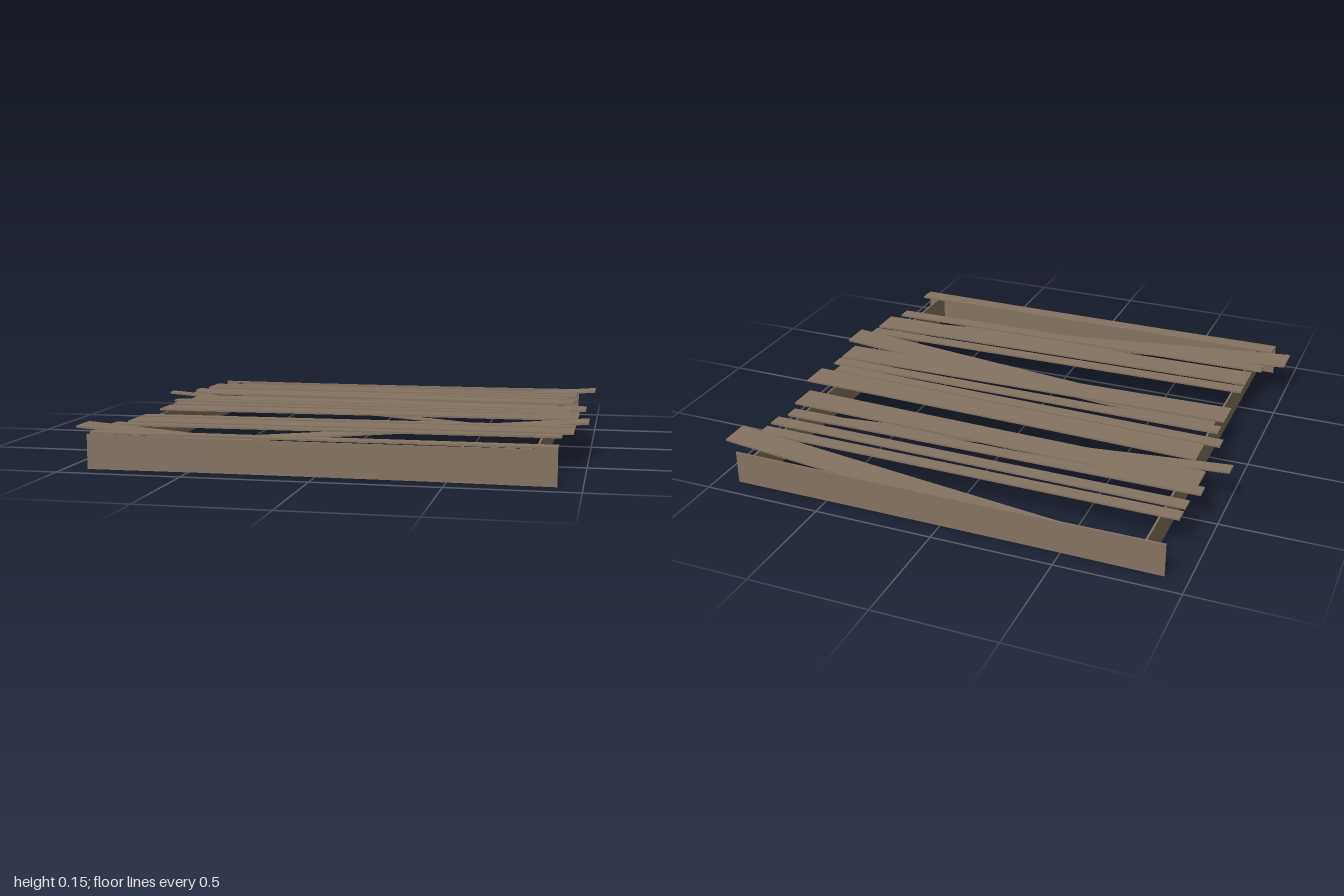
import * as THREE from 'three';

export function createModel() {
  const group = new THREE.Group();
  const wood = new THREE.MeshStandardMaterial({ color: 0x857462 });
  wood.name = 'weatheredWood';

  // A worn board between two end points (x, y, z), its long edges pinching in slightly towards the middle
  function board(name, [x0, y0, z0], [x1, y1, z1], depth, height) {
    const g = new THREE.BoxGeometry(1, height, depth, 4, 1, 1);
    const p = g.attributes.position;
    for (let i = 0; i < p.count; i++) {
      const t = p.getX(i) + 0.5;
      const pinch = 0.96 + 0.04 * (2 * t - 1) ** 2;
      p.setXYZ(i,
        x0 + (x1 - x0) * t,
        y0 + (y1 - y0) * t + p.getY(i) * pinch,
        z0 + (z1 - z0) * t + p.getZ(i) * pinch);
    }
    g.computeVertexNormals();
    const mesh = new THREE.Mesh(g, wood);
    mesh.name = name;
    group.add(mesh);
  }

  // Deck slats: x, y, z of the two ends, width. Four have slipped off one rail and slope to the ground.
  const top = 0.139, high = 0.149, low = 0.006;
  const slats = [
    [[-0.82, low, -0.84], [0.992, high, -0.795], 0.13],
    [[-0.907, top, -0.71], [0.907, top, -0.71], 0.06],
    [[-0.907, top, -0.628], [0.907, top, -0.62], 0.06],
    [[-0.935, top, -0.51], [0.88, top, -0.53], 0.06],
    [[-0.907, top + 0.001, -0.43], [0.907, top + 0.001, -0.39], 0.13],
    [[-1, high, -0.32], [0.82, low, -0.318], 0.06],
    [[-0.845, top + 0.001, -0.22], [0.97, top + 0.001, -0.175], 0.13],
    [[-0.907, top, -0.115], [0.907, top, -0.075], 0.06],
    [[-0.87, top, -0.005], [0.947, top, -0.007], 0.06],
    [[-0.87, top, 0.138], [0.947, top, 0.1], 0.13],
    [[-0.82, low, 0.28], [0.997, high, 0.26], 0.13],
    [[-0.87, top, 0.4], [0.947, top, 0.36], 0.06],
    [[-0.87, top, 0.517], [0.947, top, 0.475], 0.13],
    [[-0.907, top, 0.64], [0.907, top, 0.605], 0.06],
    [[-0.997, high, 0.745], [0.82, low, 0.745], 0.13],
    [[-0.907, top, 0.86], [0.907, top, 0.86], 0.06],
  ];
  slats.forEach(([a, b, width], i) => board(`slat${i + 1}`, a, b, width, 0.008));

  // Upright end boards, front and back
  board('frontBoard', [-0.908, 0.069, 0.91], [0.908, 0.069, 0.91], 0.008, 0.138);
  board('backBoard', [-0.908, 0.069, -0.913], [0.908, 0.069, -0.913], 0.008, 0.138);

  // Side rails under the slats
  for (const side of [-1, 1]) {
    const rail = new THREE.Mesh(new THREE.BoxGeometry(0.008, 0.132, 1.81), wood);
    rail.position.set(side * 0.83, 0.069, -0.002);
    rail.name = side > 0 ? 'leftRail' : 'rightRail';
    group.add(rail);
  }
  return group;
}
